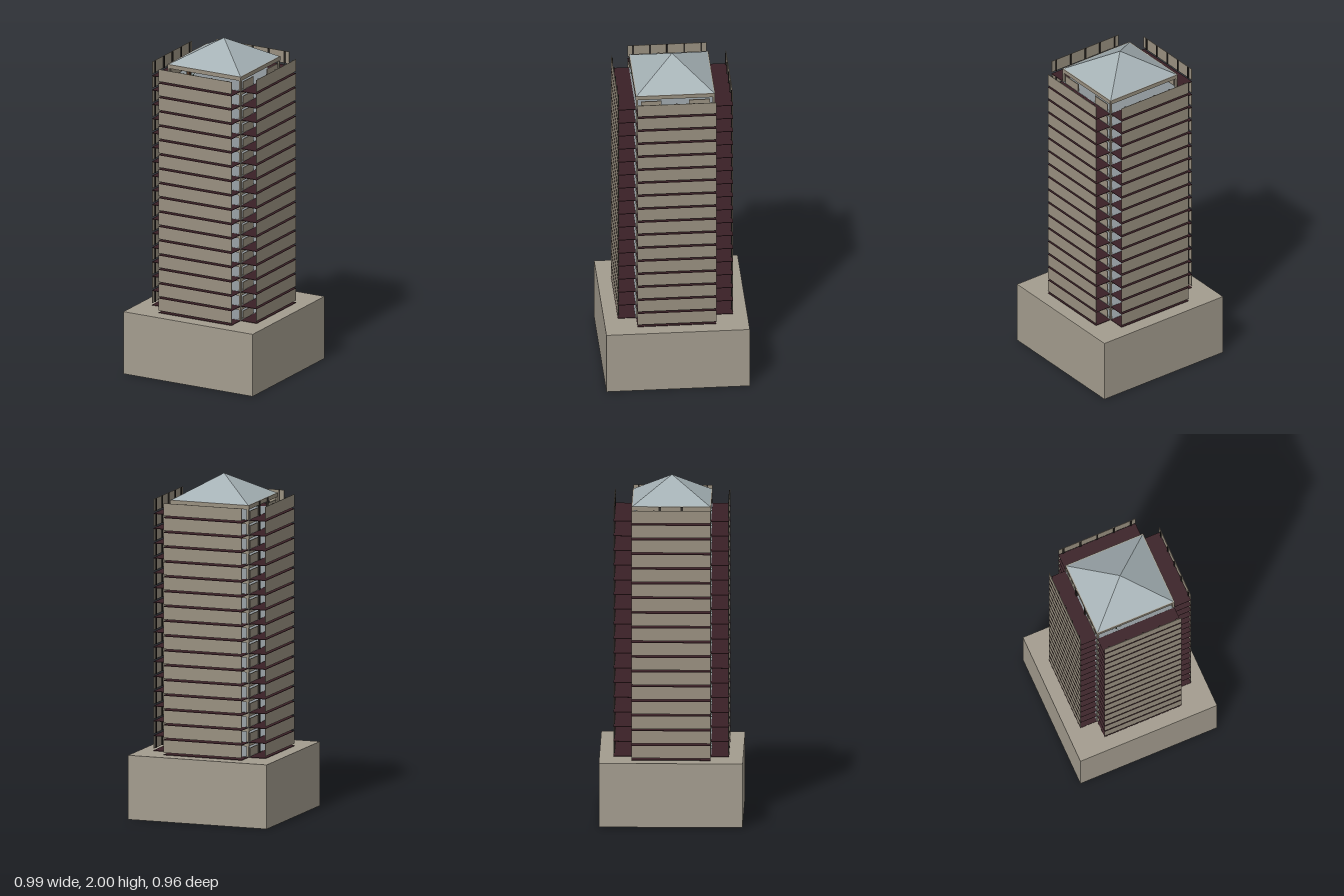
import * as THREE from 'three';

const mat = (color, extra = {}) => new THREE.MeshStandardMaterial({ color, ...extra });
const stone = mat(0xa39c8e);
const wallMat = mat(0x999080);
const carpet = mat(0x3a2026);
const slabMat = mat(0x8a9296);
const dark = mat(0x2e2a26);
const glass = mat(0x8fa3b0);
const green = mat(0x2f5a32, { side: THREE.DoubleSide });
const wood = mat(0x4a3222);
const roofMat = mat(0xa4b0b4, { flatShading: true });

const BASE_TOP = 0.378, TOP = 1.86, FLOORS = 17;
const STOREY = (TOP - BASE_TOP) / FLOORS;
const CORE_X = 0.246, CORE_Z = 0.231, WING = 0.104;

function box(parent, name, material, w, h, d, x, y, z) {
  const m = new THREE.Mesh(new THREE.BoxGeometry(w, h, d), material);
  m.name = name;
  m.position.set(x, y, z);
  parent.add(m);
  return m;
}

// One balcony: floor, outer parapet with posts on its inner side, and lintel on the core edge
function balcony(width, coreDist, angle) {
  const g = new THREE.Group();
  g.name = 'balcony';
  g.rotation.y = angle;
  const out = coreDist + WING, panelH = STOREY * 0.84;
  box(g, 'balconyFloor', carpet, width, 0.003, WING, 0, 0.0015, coreDist + WING / 2);
  box(g, 'parapet', wallMat, width, panelH, 0.003, 0, STOREY - panelH / 2 - STOREY * 0.0, out - 0.0015);
  for (let i = 0; i < 5; i++) {
    box(g, 'parapetPost', dark, 0.01, panelH, 0.005, (i / 4 - 0.5) * (width - 0.06), STOREY - panelH / 2, out - 0.0055);
  }
  box(g, 'lintel', wallMat, width, 0.022, 0.006, 0, STOREY - 0.011, coreDist - 0.003);
  return g;
}

// Fan of leaves on a small trunk
function plant() {
  const g = new THREE.Group();
  g.name = 'plant';
  box(g, 'trunk', wood, 0.02, 0.045, 0.02, 0, 0.04, 0);
  for (let i = 0; i < 8; i++) {
    const holder = new THREE.Group();
    holder.rotation.y = (i / 8) * Math.PI * 2;
    const leaf = new THREE.Mesh(new THREE.ConeGeometry(0.009, 0.05, 3), green);
    leaf.name = 'leaf';
    leaf.position.set(0.02, 0.024, 0);
    leaf.rotation.z = -0.8;
    holder.add(leaf);
    g.add(holder);
  }
  return g;
}

// One storey of the tower
function storey(index) {
  const g = new THREE.Group();
  g.name = 'storey';
  g.position.y = BASE_TOP + index * STOREY;
  box(g, 'coreFloor', slabMat, CORE_X * 2, 0.004, CORE_Z * 2, 0, 0.002, 0);
  for (let i = 0; i < 4; i++) {
    const frontBack = i % 2 === 0;
    g.add(balcony(frontBack ? CORE_X * 1.98 : CORE_Z * 1.98, frontBack ? CORE_Z : CORE_X, i * Math.PI / 2));
  }
  // Low side walls beside the door openings
  for (const sx of [-1, 1]) for (const sz of [-1, 1]) {
    box(g, 'sideWall', wallMat, 0.006, STOREY * 0.6, 0.12, sx * (CORE_X - 0.004), STOREY * 0.3, sz * 0.14);
  }
  if (index === 2 || index === 7) {
    box(g, 'glassPanel', glass, 0.004, STOREY * 0.6, 0.1, -CORE_X + 0.004, STOREY * 0.4, 0.13);
  }
  const p = plant();
  p.position.set(-0.12, 0.004, 0.2);
  g.add(p);
  return g;
}

export function createModel() {
  const model = new THREE.Group();
  model.name = 'towerBlock';
  model.rotation.y = THREE.MathUtils.degToRad(9.3);

  // Podium
  box(model, 'podium', stone, 0.864, BASE_TOP, 0.834, 0, BASE_TOP / 2, 0);

  // Storeys
  for (let i = 0; i < FLOORS; i++) model.add(storey(i));

  // Full-height lift core, corner columns and door posts
  const h = TOP - BASE_TOP, mid = (TOP + BASE_TOP) / 2;
  box(model, 'liftCore', wallMat, 0.16, h, 0.14, 0, mid, -0.02);
  for (const sx of [-1, 1]) for (const sz of [-1, 1]) {
    box(model, 'cornerColumn', wallMat, 0.012, h, 0.012, sx * (CORE_X - 0.008), mid, sz * (CORE_Z - 0.008));
  }
  for (const z of [-0.066, 0.06]) {
    box(model, 'doorPost', dark, 0.012, h, 0.014, -CORE_X, mid, z);
  }

  // Eaves and pyramid roof
  box(model, 'eaves', stone, CORE_X * 2, 0.004, CORE_Z * 2, 0, TOP, 0);
  const cone = new THREE.ConeGeometry(Math.SQRT2, 2 - TOP, 4);
  cone.rotateY(Math.PI / 4);
  cone.scale(CORE_X - 0.003, 1, CORE_Z - 0.003);
  cone.computeVertexNormals();
  const roof = new THREE.Mesh(cone, roofMat);
  roof.name = 'roof';
  roof.position.y = (2 + TOP) / 2;
  model.add(roof);

  const root = new THREE.Group();
  root.name = 'building';
  root.add(model);
  return root;
}
